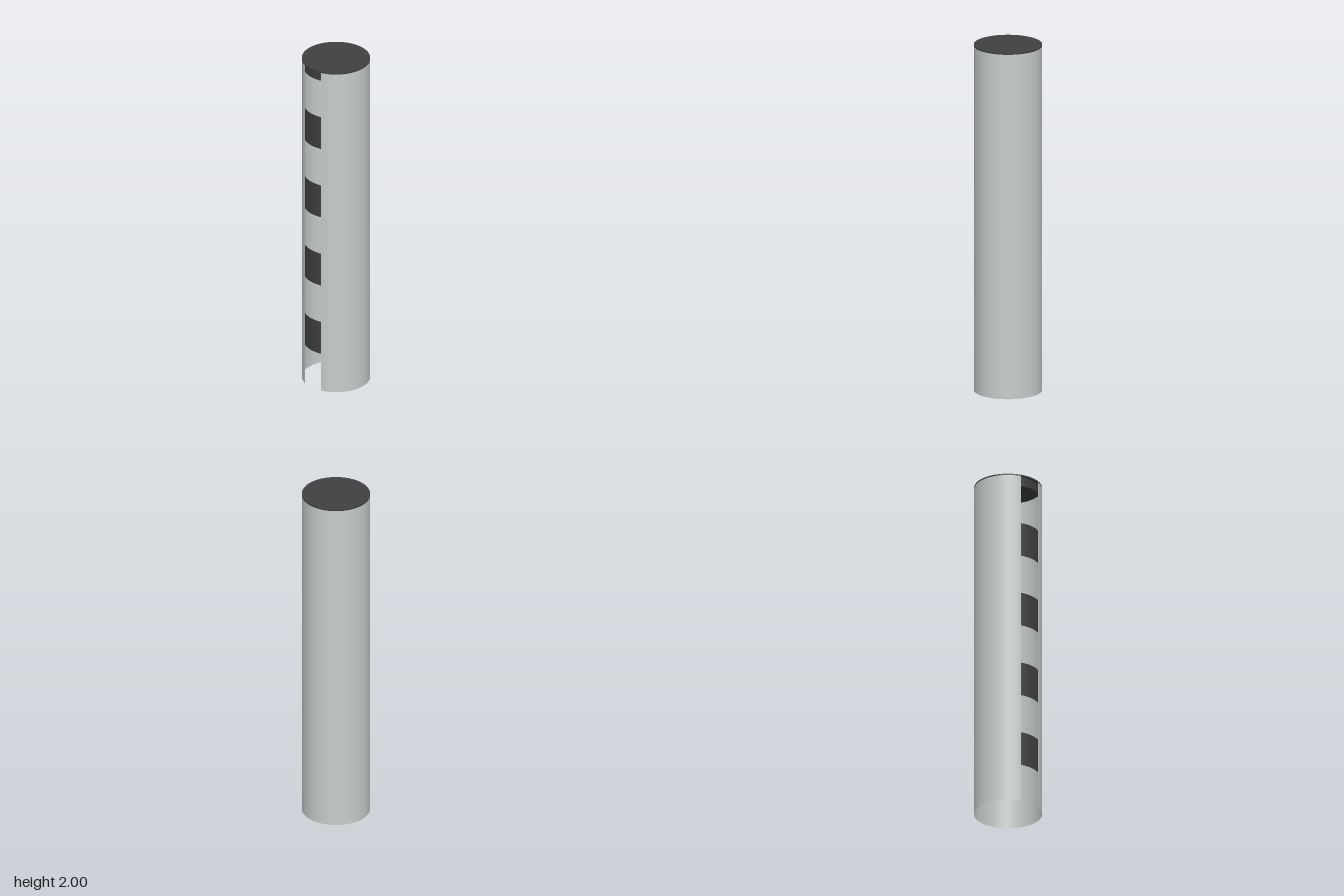
import * as THREE from 'three';

const RADIUS = 0.19;
const HEIGHT = 2;
const LID = 0.008;
const SLOT = THREE.MathUtils.degToRad(40);

export function createModel() {
  const model = new THREE.Group();
  const shell = new THREE.MeshStandardMaterial({ color: 0xc5cdca, side: THREE.DoubleSide });
  const dark = new THREE.MeshStandardMaterial({ color: 0x404040 });

  const add = (name, geometry, material, y) => {
    const mesh = new THREE.Mesh(geometry, material);
    mesh.name = name;
    mesh.position.y = y;
    model.add(mesh);
  };

  // Thin open tube with a full-height slot centred on -x
  const tubeHeight = HEIGHT - LID;
  add('slottedTube', new THREE.CylinderGeometry(RADIUS, RADIUS, tubeHeight, 72, 1, true,
    Math.PI * 1.5 + SLOT / 2, Math.PI * 2 - SLOT), shell, tubeHeight / 2);

  // Flat lid closing the top
  add('lid', new THREE.CylinderGeometry(RADIUS, RADIUS, LID, 72), dark, HEIGHT - LID / 2);

  // Evenly spaced dark bands behind the slot, the top one cut off by the lid
  for (let i = 0; i < 5; i++) {
    const bottom = 0.225 + i * 0.428;
    const top = Math.min(bottom + 0.2, tubeHeight);
    add('innerBand', new THREE.CylinderGeometry(0.179, 0.179, top - bottom, 72, 1, true),
      dark, (bottom + top) / 2);
  }
  return model;
}
